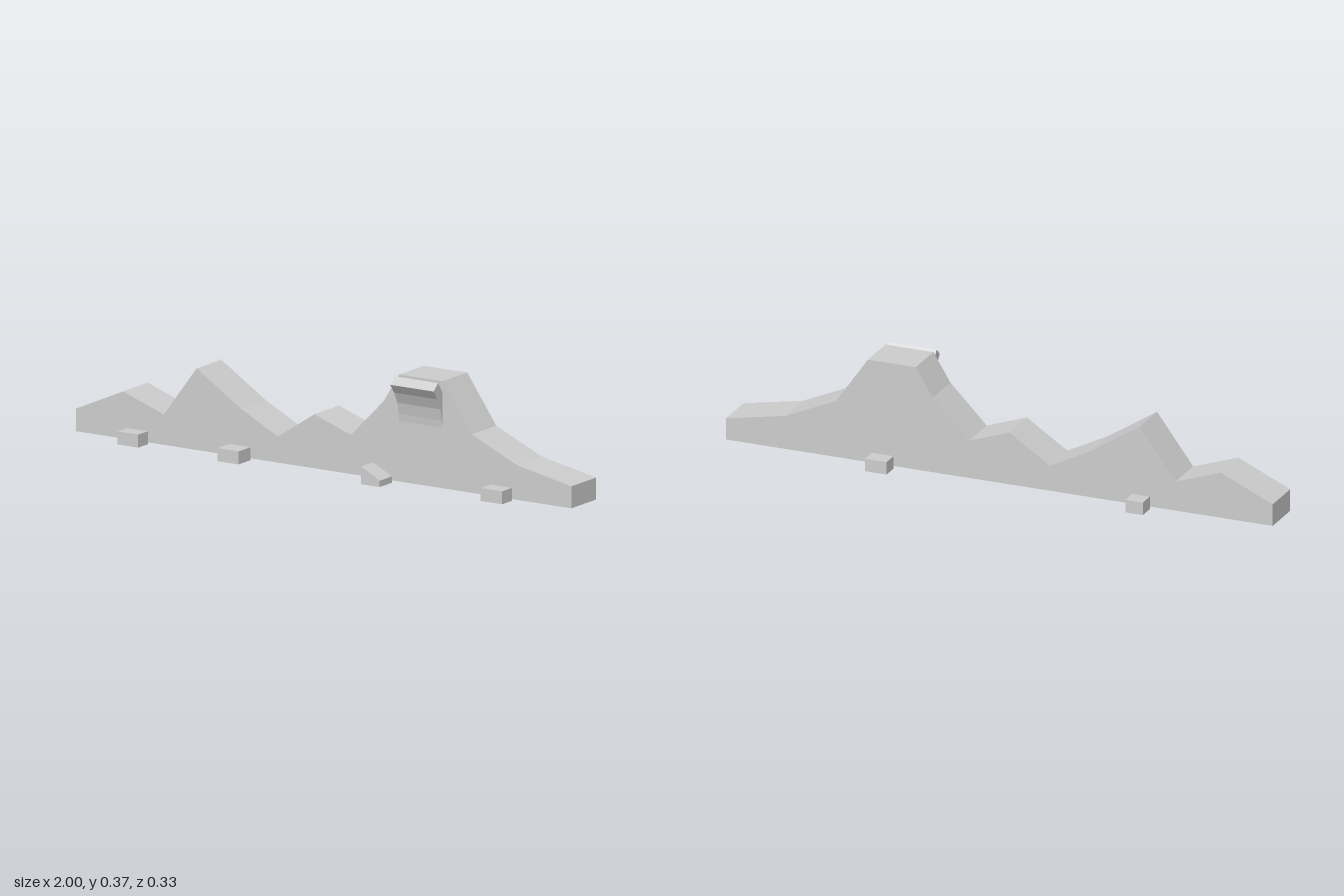
import * as THREE from 'three';

const stone = new THREE.MeshStandardMaterial({ color: 0xcccccc, side: THREE.DoubleSide });
stone.name = 'grey stone';

// Extrudes a closed profile without bevels
function extrude(points, depth) {
  const shape = new THREE.Shape(points.map(([x, y]) => new THREE.Vector2(x, y)));
  return new THREE.ExtrudeGeometry(shape, { depth, bevelEnabled: false });
}

// Removes the faces lying wholly on the ground, leaving an open shell
function openBottom(geometry) {
  const p = geometry.attributes.position;
  const kept = [];
  for (let i = 0; i < p.count; i += 3) {
    if (Math.max(p.getY(i), p.getY(i + 1), p.getY(i + 2)) < 1e-5) continue;
    for (let j = i; j < i + 3; j++) kept.push(p.getX(j), p.getY(j), p.getZ(j));
  }
  const shell = new THREE.BufferGeometry();
  shell.setAttribute('position', new THREE.Float32BufferAttribute(kept, 3));
  shell.computeVertexNormals();
  return shell;
}

export function createModel() {
  const model = new THREE.Group();
  model.name = 'mountainRidge';

  const add = (name, geometry) => {
    const mesh = new THREE.Mesh(geometry, stone);
    mesh.name = name;
    model.add(mesh);
  };

  // Hollow shell with the profile facing front, between z0 and z1
  const addShell = (name, profile, z0, z1) =>
    add(name, openBottom(extrude(profile, z1 - z0)).translate(0, 0, z0));

  // Jagged ridge
  addShell('ridge', [
    [-1, 0], [1, 0], [1, 0.076], [0.78, 0.12], [0.597, 0.202], [0.48, 0.37],
    [0.305, 0.37], [0.243, 0.27], [0.11, 0.135], [-0.037, 0.187], [-0.185, 0.09],
    [-0.335, 0.167], [-0.513, 0.282], [-0.645, 0.105], [-0.81, 0.163], [-1, 0.078],
  ], -0.085, 0.065);

  // Curved overhang on the front of the peak, profile in (z, y)
  const overhang = extrude([
    [0.064, 0.2], [0.068, 0.235], [0.077, 0.275], [0.095, 0.313],
    [0.119, 0.345], [0.092, 0.369], [0.064, 0.33],
  ], 0.175);
  add('overhang', overhang.rotateY(-Math.PI / 2).translate(0.48, 0, 0));

  // Low blocks along both sides: x0, x1, z0, z1
  [
    [-0.778, -0.695, 0.087, 0.146],
    [-0.366, -0.28, 0.087, 0.16],
    [0.688, 0.775, 0.087, 0.146],
    [-0.56, -0.496, -0.166, -0.107],
    [0.377, 0.457, -0.166, -0.107],
  ].forEach(([x0, x1, z0, z1], i) =>
    addShell(`block${i + 1}`, [[x0, 0], [x1, 0], [x1, 0.045], [x0, 0.045]], z0, z1));

  // Sloping ramp block
  addShell('rampBlock', [[0.22, 0], [0.295, 0], [0.295, 0.022], [0.22, 0.061]], 0.094, 0.168);

  return model;
}
